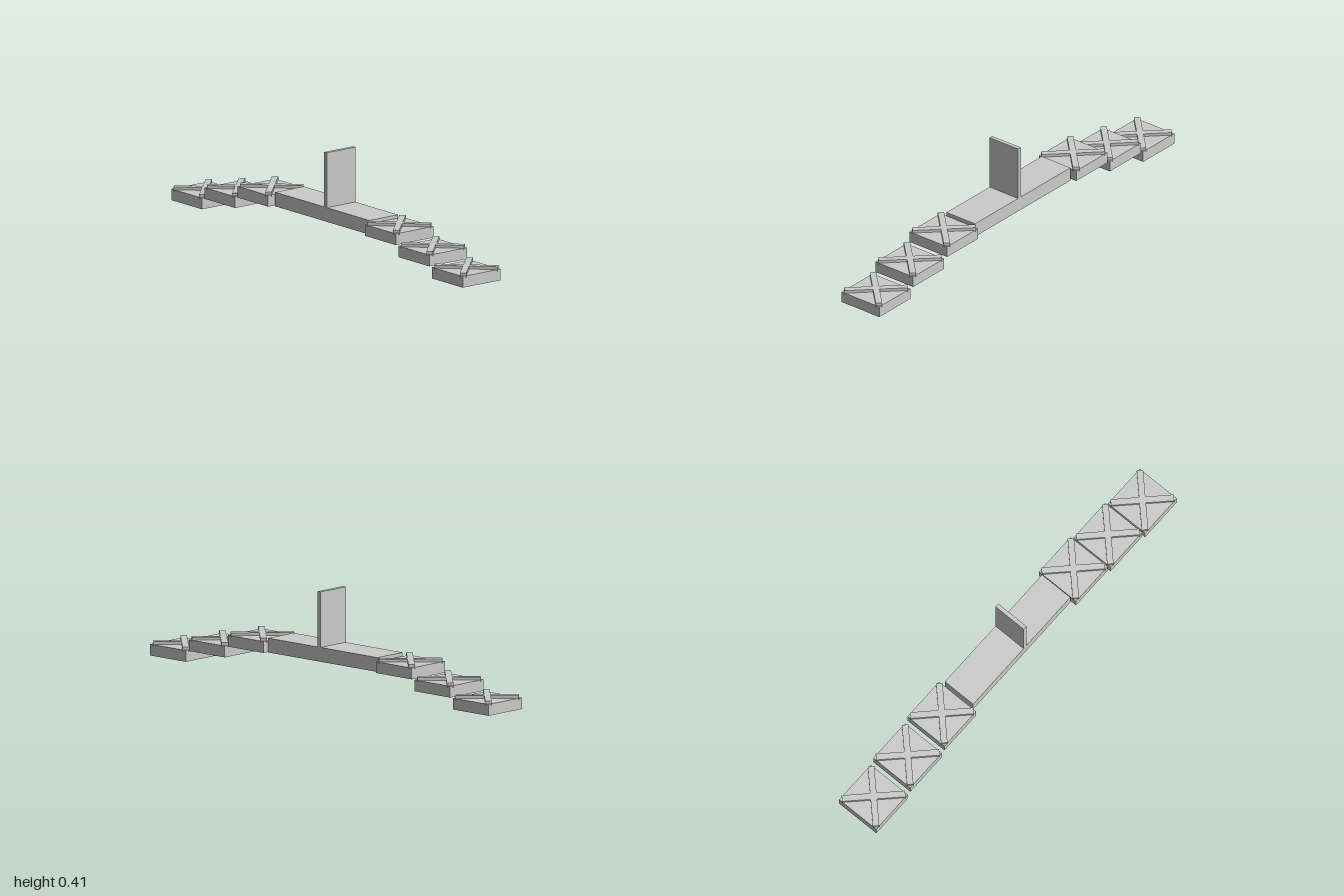
import * as THREE from 'three';

const material = new THREE.MeshStandardMaterial({ color: 0xcccccc, flatShading: true });

function box(name, w, h, d, x, y, z) {
  const mesh = new THREE.Mesh(new THREE.BoxGeometry(w, h, d), material);
  mesh.name = name;
  mesh.position.set(x, y, z);
  return mesh;
}

// Square step with two crossed diagonal bars sunk into its top
function createStep(name, x, y) {
  const step = new THREE.Group();
  step.name = name;
  step.position.set(x, y, 0);
  step.add(box('stepBlock', 0.21, 0.05, 0.21, 0, 0.025, 0));
  for (const side of [-1, 1]) {
    const bar = box('crossBar', 0.274, 0.02, 0.028, 0, 0.053, 0);
    bar.rotation.y = side * Math.PI / 4;
    step.add(bar);
  }
  return step;
}

export function createModel() {
  const model = new THREE.Group();
  model.name = 'steppedBridge';

  // Central deck and upright panel
  model.add(box('deck', 0.645, 0.063, 0.16, 0.001, 0.1315, -0.003));
  model.add(box('uprightPanel', 0.018, 0.245, 0.16, 0.023, 0.2845, -0.003));

  // Three steps descending on each side
  const sides = [['left', 1, 0.2295], ['right', -1, 0.2265]];
  for (const [label, sign, spacing] of sides) {
    for (let i = 0; i < 3; i++) {
      model.add(createStep(`${label}Step${i + 1}`, sign * (0.893 - i * spacing), i * 0.05));
    }
  }
  return model;
}
